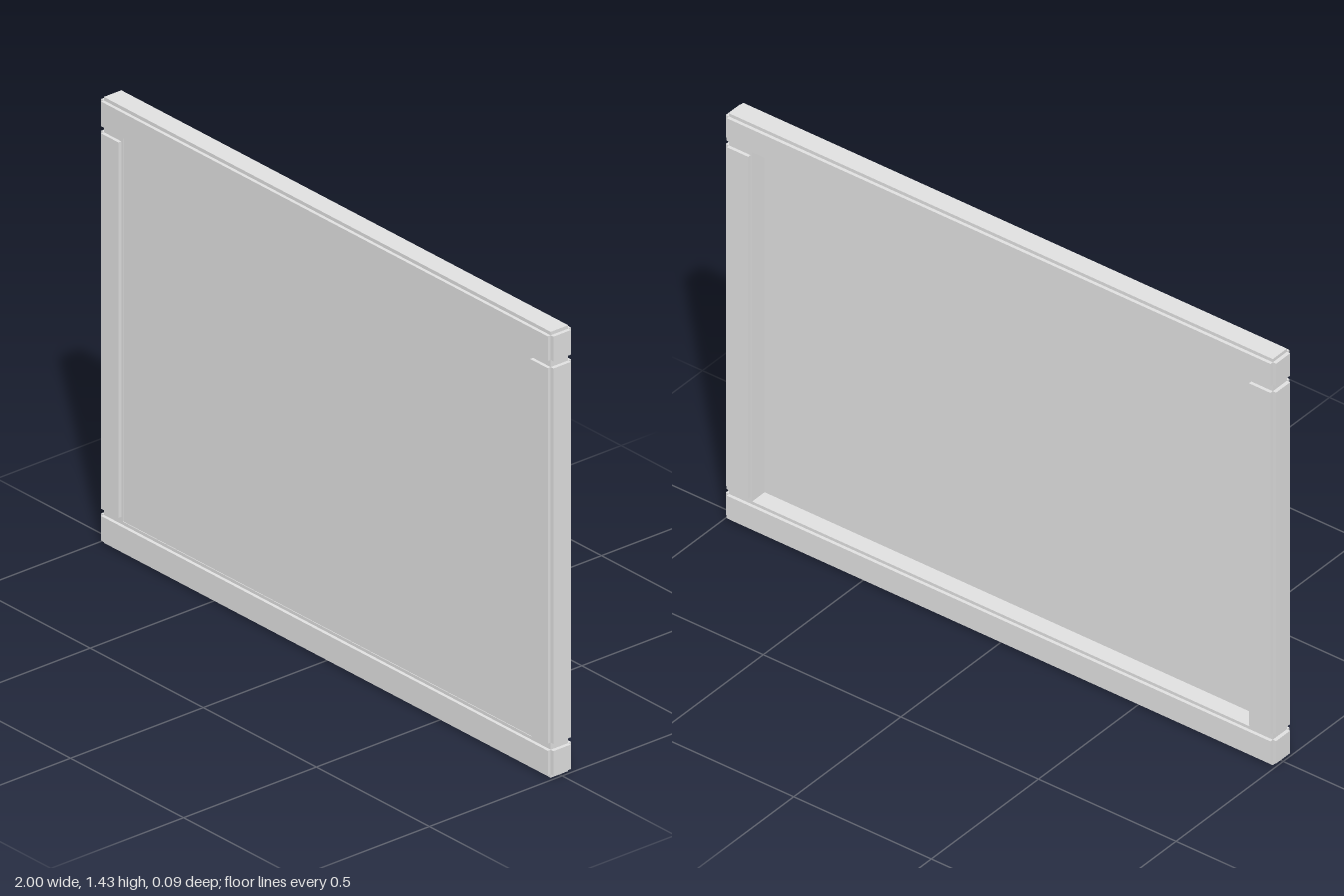
import * as THREE from 'three';

const H = 1.43;          // overall height
const CX = 0.988;        // half width of the core frame
const CZ = 0.033;        // half depth of the core frame
const FZ = 0.044;        // half depth over the facings

export function createModel() {
  const group = new THREE.Group();
  group.name = 'framedPanel';
  const grey = new THREE.MeshStandardMaterial({ color: 0xe2e2e2 });
  grey.name = 'light grey';

  const add = (name, geometry) => {
    const mesh = new THREE.Mesh(geometry, grey);
    mesh.name = name;
    group.add(mesh);
    return mesh;
  };
  // box given by its limits
  const box = (name, x0, x1, y0, y1, z0, z1) => {
    const mesh = add(name, new THREE.BoxGeometry(x1 - x0, y1 - y0, z1 - z0));
    mesh.position.set((x0 + x1) / 2, (y0 + y1) / 2, (z0 + z1) / 2);
  };
  const corners = (x, y0, y1) => [[-x, y0], [x, y0], [x, y1], [-x, y1]]
    .map(([a, b]) => new THREE.Vector2(a, b));

  // core frame, left bare in the grooves between rails and stiles
  const shape = new THREE.Shape(corners(CX, 0, H));
  shape.holes.push(new THREE.Path(corners(0.904, 0.1, H - 0.1).reverse()));
  const core = new THREE.ExtrudeGeometry(shape, { depth: 2 * CZ, bevelEnabled: false });
  core.translate(0, 0, -CZ);
  add('coreFrame', core);

  // rails across the top and bottom: front and back facings, end caps
  for (const [name, y0, y1] of [['bottomRail', 0.011, 0.09], ['topRail', H - 0.09, H - 0.011]]) {
    box(name + 'Front', -CX, CX, y0, y1, CZ, FZ);
    box(name + 'Back', -CX, CX, y0, y1, -FZ, -CZ);
    box(name + 'LeftCap', CX, 1, y0, y1, -CZ, CZ);
    box(name + 'RightCap', -1, -CX, y0, y1, -CZ, CZ);
  }

  // upright stiles: front and back facings, outer cap
  for (const [name, s] of [['leftStile', 1], ['rightStile', -1]]) {
    const span = (a, b) => (s > 0 ? [a, b] : [-b, -a]);
    box(name + 'Front', ...span(0.91, CX), 0.113, H - 0.113, CZ, FZ);
    box(name + 'Back', ...span(0.91, CX), 0.113, H - 0.113, -FZ, -CZ);
    box(name + 'Cap', ...span(CX, 1), 0.113, H - 0.113, -CZ, CZ);
  }

  // thin front panel, leaving a deep recess behind
  box('frontPanel', -0.907, 0.907, 0.095, H - 0.095, 0.025, 0.031);

  // flat sheet at the back of the recess
  const sheet = add('backSheet', new THREE.PlaneGeometry(1.515, 0.945));
  sheet.rotation.y = Math.PI;
  sheet.position.set(0, H / 2, -0.033);

  return group;
}
